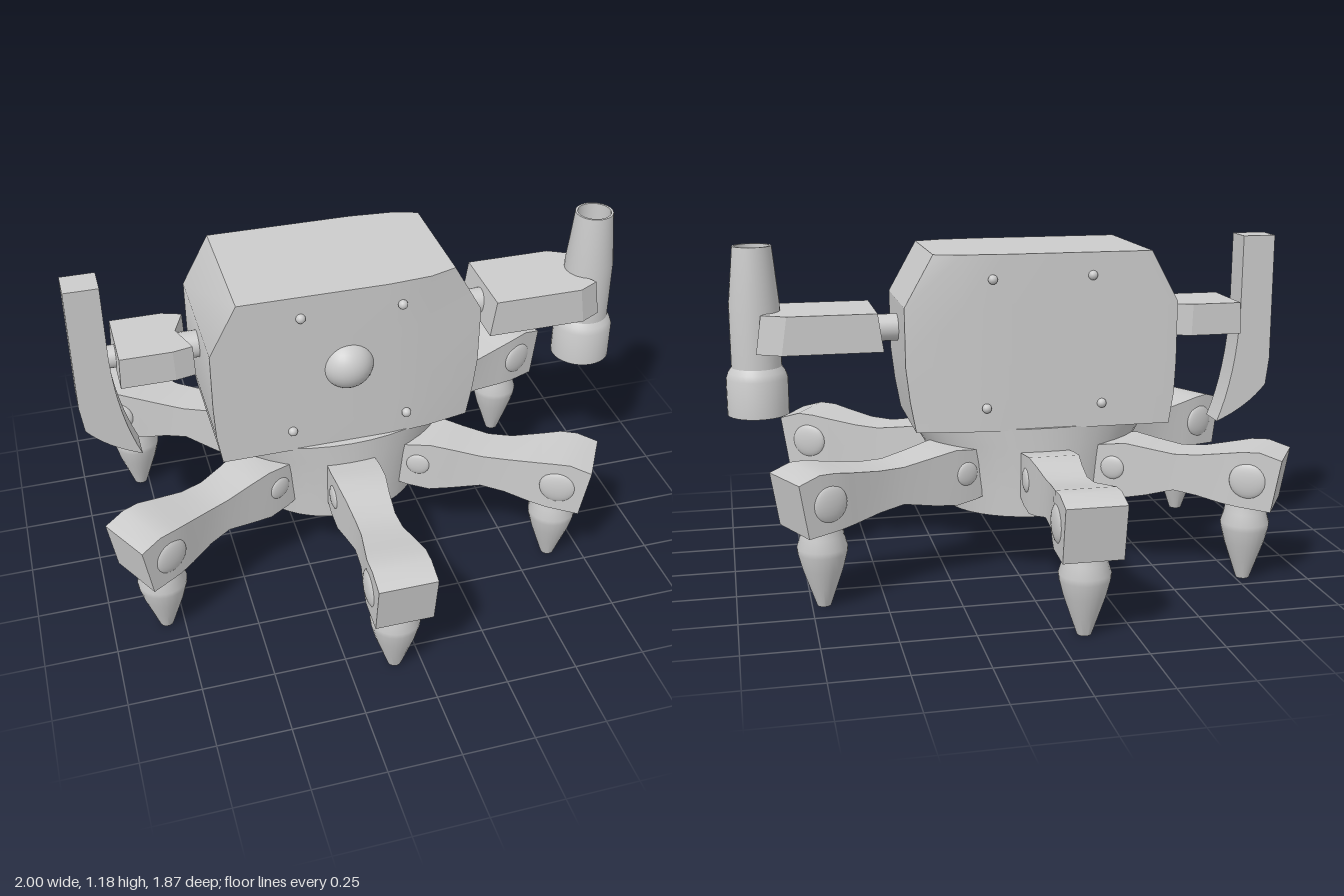
import * as THREE from 'three';
import { toCreasedNormals } from 'three/addons/utils/BufferGeometryUtils.js';

const material = new THREE.MeshStandardMaterial({ color: 0xcccccc });
const openMaterial = new THREE.MeshStandardMaterial({ color: 0xcccccc, side: THREE.DoubleSide });
const CX = -0.09; // x of the walking base

function add(parent, name, geometry, x = 0, y = 0, z = 0, mat = material) {
  const mesh = new THREE.Mesh(geometry, mat);
  mesh.name = name;
  mesh.position.set(x, y, z);
  parent.add(mesh);
  return mesh;
}

// Skin a closed solid over rings of [x, y, z] points; turns it outward by its volume.
function loft(rings, crease = 0.5) {
  const n = rings[0].length;
  const last = (rings.length - 1) * n;
  const tris = [];
  for (let r = 0; r < rings.length - 1; r++) {
    for (let i = 0; i < n; i++) {
      const a = r * n + i, b = r * n + (i + 1) % n;
      tris.push([a, b, b + n], [a, b + n, a + n]);
    }
  }
  for (let i = 1; i < n - 1; i++) {
    tris.push([0, i + 1, i], [last, last + i, last + i + 1]);
  }
  const pts = rings.flat().map((p) => new THREE.Vector3(...p));
  let volume = 0;
  for (const [a, b, c] of tris) volume += pts[a].dot(pts[b].clone().cross(pts[c]));
  if (volume < 0) tris.forEach((t) => t.reverse());
  const g = new THREE.BufferGeometry().setFromPoints(pts);
  g.setIndex(tris.flat());
  return toCreasedNormals(g.toNonIndexed(), crease);
}

function lathe(points, segments = 32) {
  const g = new THREE.LatheGeometry(points.map((p) => new THREE.Vector2(...p)), segments);
  return toCreasedNormals(g.toNonIndexed(), 0.5);
}

// Plan outline of [x, z] points raised from y0 to y1; the lower end spreads along x.
function block(outline, y0, y1, spread) {
  const shape = new THREE.Shape(outline.map(([x, z]) => new THREE.Vector2(x, -z)));
  const g = new THREE.ExtrudeGeometry(shape, { depth: y1 - y0, bevelEnabled: false });
  g.rotateX(-Math.PI / 2).translate(0, y0, 0);
  const mid = (outline[0][0] + outline[1][0]) / 2;
  const p = g.attributes.position;
  for (let i = 0; i < p.count; i++) {
    const t = (y1 - p.getY(i)) / (y1 - y0);
    p.setX(i, p.getX(i) + t * spread * Math.sign(p.getX(i) - mid));
  }
  g.computeVertexNormals();
  return g;
}

function makeBody() {
  // [y, left x, right x]
  const levels = [
    [0.54, -0.545, 0.36], [0.65, -0.562, 0.38], [0.77, -0.567, 0.394],
    [0.98, -0.567, 0.396], [1.16, -0.47, 0.295],
  ];
  return loft(levels.map(([y, l, r]) => [
    [l, y, 0.24], [0.05, y, 0.24], [0.2, y, 0.228], [r, y, 0.197],
    [r, y, -0.215], [0.2, y, -0.243], [0.05, y, -0.255], [l, y, -0.255],
  ]));
}

function makePelvis() {
  // Elliptical drum whose x radius flares under the body
  const levels = [[0.222, 0.312], [0.32, 0.335], [0.42, 0.37], [0.48, 0.405], [0.545, 0.45]];
  return loft(levels.map(([y, rx]) => Array.from({ length: 40 }, (_, i) => {
    const a = (i / 40) * Math.PI * 2;
    return [CX + rx * Math.cos(a), y, 0.267 * Math.sin(a)];
  })));
}

// A leg reaching along +x from the centre of the base
function makeLeg(length) {
  const leg = new THREE.Group();
  // [distance at top, distance at bottom, half width, bottom, top]
  const stations = [
    [0.20, 0.20, 0.085, 0.305, 0.45], [0.31, 0.31, 0.09, 0.285, 0.468],
    [0.39, 0.39, 0.088, 0.277, 0.478], [0.47, 0.46, 0.078, 0.29, 0.464],
    [0.56, 0.56, 0.071, 0.318, 0.45], [0.64, 0.64, 0.073, 0.308, 0.455],
    [0.74, 0.73, 0.09, 0.294, 0.475], [0.80, 0.79, 0.1, 0.289, 0.487],
    [0.86, 0.84, 0.1, 0.285, 0.49], [0.937, 0.905, 0.1, 0.28, 0.467],
  ];
  const k = length - 0.937;
  const shift = (r) => r + k * THREE.MathUtils.clamp((r - 0.39) / 0.35, 0, 1);
  add(leg, 'legBeam', loft(stations.map(([rt, rb, w, b, t]) => [
    [shift(rb), b, -w], [shift(rb), b, w], [shift(rt), t, w], [shift(rt), t, -w],
  ])));
  // Domed joint caps on both sides
  for (const s of [-1, 1]) {
    const cap = (name, r, radius, z) => {
      const dome = new THREE.SphereGeometry(radius, 24, 12);
      dome.scale(1, 1, 0.3);
      add(leg, name, dome, r, 0.385, s * z);
    };
    cap('kneeCap', length - 0.115, 0.065, 0.094);
    cap('hipCap', 0.345, 0.043, 0.087);
  }
  add(leg, 'foot', lathe([
    [0, 0], [0.024, 0], [0.048, 0.07], [0.07, 0.135], [0.084, 0.19], [0.086, 0.21],
    [0.074, 0.25], [0.068, 0.3], [0, 0.3],
  ], 24), length - 0.135, 0, 0);
  return leg;
}

export function createModel() {
  const model = new THREE.Group();
  model.name = 'walker';

  add(model, 'body', makeBody());
  add(model, 'pelvis', makePelvis());
  add(model, 'eye', new THREE.SphereGeometry(0.093, 32, 20), CX, 0.857, 0.205);

  // Rivets on the front and back plates
  for (const [x, y] of [[-0.257, 1.08], [0.096, 1.075], [-0.295, 0.625], [0.118, 0.625]]) {
    for (const z of [0.243, -0.256]) {
      add(model, 'rivet', new THREE.SphereGeometry(0.017, 12, 8), x, y, z);
    }
  }

  // Six legs: [heading in degrees from +x towards +z, length]
  const legs = [[90, 0.937], [-90, 0.937], [30, 0.97], [-25.5, 1.02], [151, 0.96], [-148.5, 0.946]];
  for (const [heading, length] of legs) {
    const leg = makeLeg(length);
    leg.name = 'leg';
    leg.position.x = CX;
    leg.rotation.y = -THREE.MathUtils.degToRad(heading);
    model.add(leg);
  }

  // Shoulder shafts
  const shaft = (name, x0, x1, r) => {
    const g = new THREE.CylinderGeometry(r, r, x1 - x0, 24).rotateZ(Math.PI / 2);
    add(model, name, g, (x0 + x1) / 2, 0.88, -0.01);
  };
  shaft('leftShaft', 0.36, 0.5, 0.048);
  shaft('rightShaft', -0.65, -0.54, 0.048);
  shaft('bladeShaft', -0.91, -0.84, 0.04);

  // Forearms, notched at one end
  add(model, 'leftForearm', block([
    [0.48, 0.14], [0.80, 0.14], [0.875, 0.1], [0.81, -0.01], [0.875, -0.115],
    [0.79, -0.16], [0.48, -0.16],
  ], 0.82, 0.955, 0.02));
  add(model, 'rightForearm', block([
    [-0.85, 0.12], [-0.67, 0.12], [-0.6, 0.105], [-0.64, -0.01], [-0.6, -0.11],
    [-0.67, -0.135], [-0.85, -0.135],
  ], 0.83, 0.945, 0.004));

  // Gun with a hollow muzzle
  add(model, 'gun', lathe([
    [0, 0.59], [0.108, 0.59], [0.108, 0.72], [0.1, 0.742], [0.088, 0.76], [0.088, 0.98],
    [0.068, 1.182], [0.06, 1.182], [0.06, 1.0], [0, 1.0],
  ]), 0.892, 0, -0.01, openMaterial);

  // Blade: straight bar that sweeps into a point
  const outline = new THREE.Shape();
  outline.moveTo(-1, 1.18);
  outline.lineTo(-1, 0.72);
  outline.lineTo(-0.988, 0.62);
  outline.quadraticCurveTo(-0.92, 0.535, -0.8, 0.485);
  outline.quadraticCurveTo(-0.87, 0.66, -0.878, 0.9);
  outline.lineTo(-0.88, 1.18);
  const blade = new THREE.ExtrudeGeometry(outline, { depth: 0.11, bevelEnabled: false, curveSegments: 8 });
  add(model, 'blade', toCreasedNormals(blade, 0.5), 0, 0, -0.07);

  return model;
}
